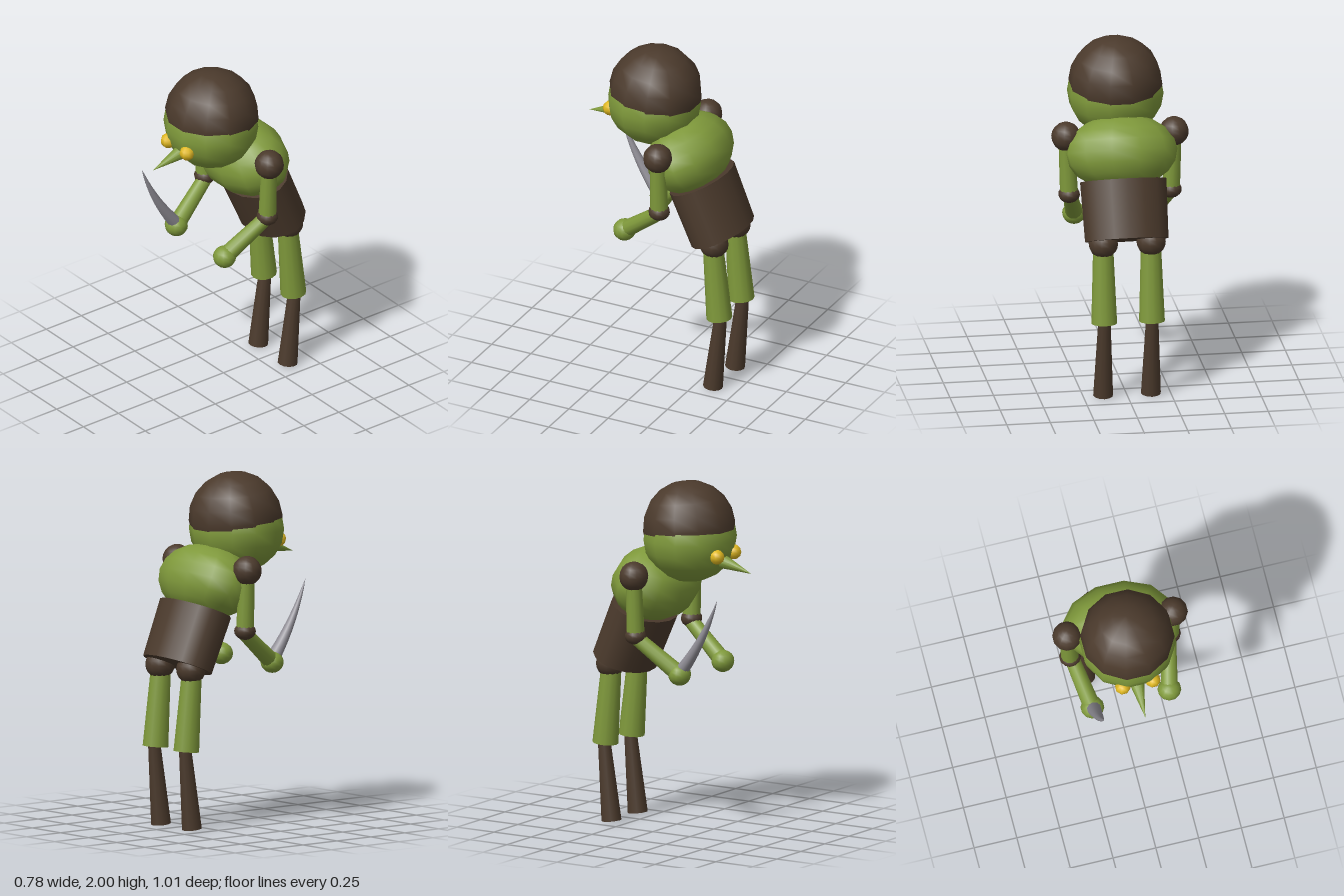
import * as THREE from 'three';

const material = (name, color) => {
  const m = new THREE.MeshStandardMaterial({ color });
  m.name = name;
  return m;
};

export function createModel() {
  const model = new THREE.Group();
  const skin = material('green skin', 0x7f993b);
  const cloth = material('brown leather', 0x4b3a2c);
  const gold = material('yellow eyes', 0xe0b820);
  const steel = material('grey steel', 0x8f8d95);
  const V = (x, y, z) => new THREE.Vector3(x, y, z);

  const add = (name, geometry, mat) => {
    const mesh = new THREE.Mesh(geometry, mat);
    mesh.name = name;
    model.add(mesh);
    return mesh;
  };
  // Ellipsoid whose facets face front, back and sides
  const ball = (name, mat, pos, rx, ry = rx, rz = rx, seg = 12, rings = 10) => {
    const g = new THREE.SphereGeometry(1, seg, rings).rotateY(Math.PI / seg);
    const mesh = add(name, g, mat);
    mesh.scale.set(rx, ry, rz);
    mesh.position.copy(pos);
    return mesh;
  };
  // Tapered cylinder from a to b
  const limb = (name, mat, a, b, ra, rb, seg = 12) => {
    const dir = b.clone().sub(a);
    const mesh = add(name, new THREE.CylinderGeometry(rb, ra, dir.length(), seg), mat);
    mesh.position.copy(a).add(b).multiplyScalar(0.5);
    mesh.quaternion.setFromUnitVectors(V(0, 1, 0), dir.normalize());
    return mesh;
  };

  // Head, hood and nose
  ball('head', skin, V(0, 1.672, 0.09), 0.276, 0.252, 0.268);
  ball('hood', cloth, V(0, 1.735, 0.083), 0.268, 0.265, 0.268).rotation.x = -0.1;
  limb('nose', skin, V(0, 1.568, 0.27), V(0, 1.507, 0.505), 0.05, 0);

  // Hunched chest and tunic
  ball('chest', skin, V(0, 1.388, -0.138), 0.325, 0.215, 0.226).rotation.x = 0.4;
  const tunic = add('tunic', new THREE.CylinderGeometry(0.177, 0.171, 0.34, 16), cloth);
  tunic.scale.x = 1.4;
  tunic.position.set(0, 1.086, -0.279);
  tunic.rotation.x = 0.405;

  // Paired parts
  for (const [side, s] of [['left', 1], ['right', -1]]) {
    ball(side + 'Eye', gold, V(s * 0.088, 1.6, 0.328), 0.045, 0.043, 0.043, 8, 6);
    ball(side + 'Shoulder', cloth, V(s * 0.31, 1.48, -0.09), 0.084);
    limb(side + 'UpperArm', skin, V(s * 0.308, 1.46, -0.09), V(s * 0.292, 1.13, -0.09), 0.045, 0.052);
    ball(side + 'Elbow', cloth, V(s * 0.292, 1.132, -0.09), 0.062, 0.05, 0.062);
    limb(side + 'Forearm', skin, V(s * 0.285, 1.12, -0.09), V(s * 0.225, 0.925, 0.165), 0.042, 0.05);
    ball(side + 'Hand', skin, V(s * 0.225, 0.925, 0.165), 0.068, 0.063, 0.065);
    ball(side + 'Hip', cloth, V(s * 0.137, 0.92, -0.36), 0.084);
    limb(side + 'Thigh', skin, V(s * 0.137, 0.92, -0.352), V(s * 0.137, 0.453, -0.394), 0.057, 0.074);
    limb(side + 'Shin', cloth, V(s * 0.137, 0.48, -0.404), V(s * 0.137, 0.006, -0.353), 0.035, 0.057);
  }

  // Curved blade: a cone bent along a curve from the right hand
  const curve = new THREE.QuadraticBezierCurve3(
    V(-0.222, 0.935, 0.165), V(-0.222, 1.13, 0.325), V(-0.22, 1.38, 0.415));
  const blade = new THREE.CylinderGeometry(1, 1, 1, 10, 10);
  const p = blade.attributes.position;
  for (let i = 0; i < p.count; i++) {
    const t = p.getY(i) + 0.5;
    const c = curve.getPoint(t);
    const d = curve.getTangent(t);
    const r = 0.044 * Math.pow(Math.max(0, 1 - t), 0.8);
    const u = p.getX(i) * r;
    const w = p.getZ(i) * r * 0.9;
    p.setXYZ(i, c.x + u, c.y - d.z * w, c.z + d.y * w);
  }
  blade.computeVertexNormals();
  add('blade', blade, steel);

  return model;
}
